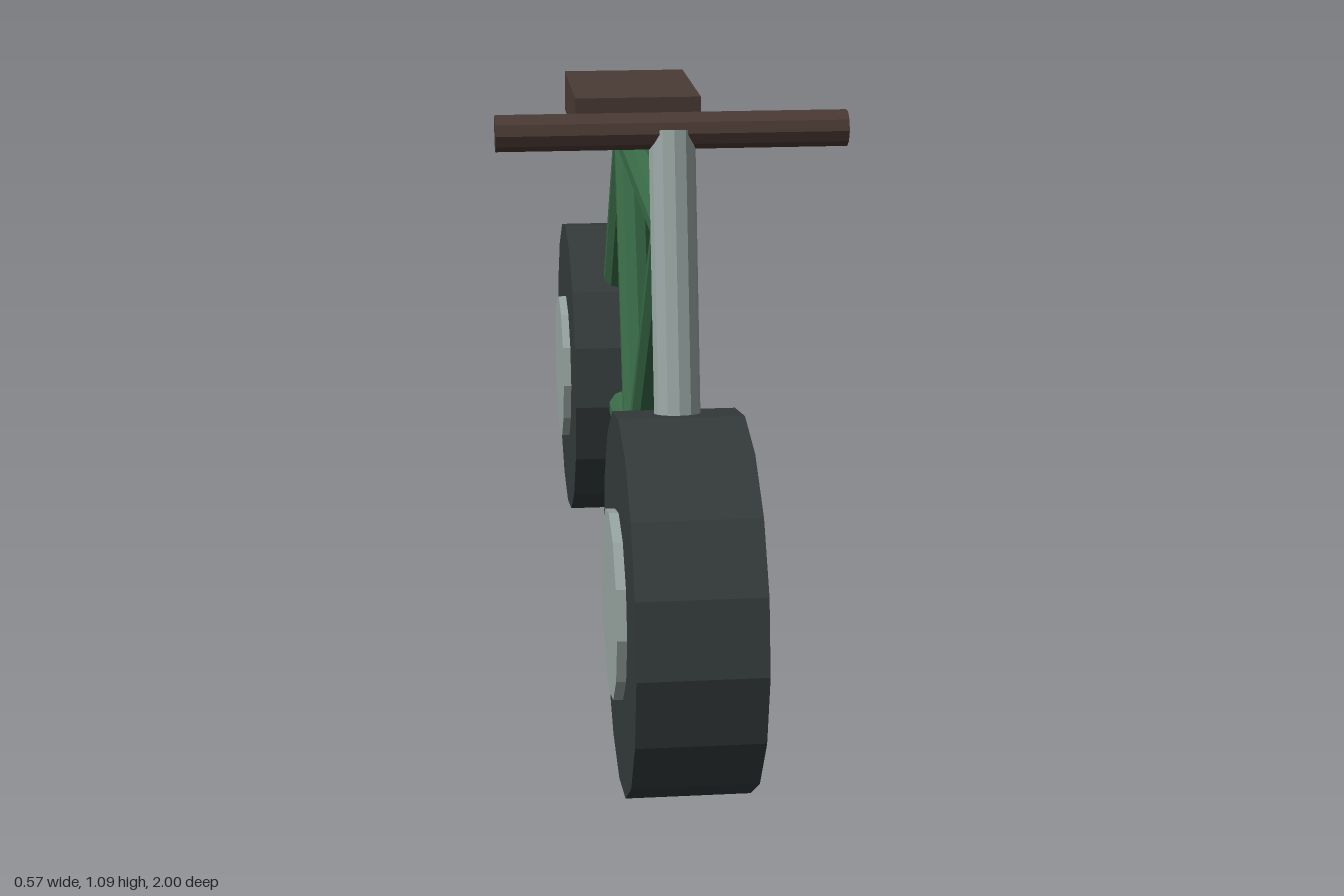
import * as THREE from 'three';

const mat = (name, color) => {
  const m = new THREE.MeshStandardMaterial({ color, flatShading: true });
  m.name = name;
  return m;
};

export function createModel() {
  const bike = new THREE.Group();
  bike.name = 'bicycle';
  const rubber = mat('dark rubber', 0x343a3a);
  const metal = mat('grey metal', 0x98a5a2);
  const green = mat('green paint', 0x386a46);
  const brown = mat('brown leather', 0x4a3a34);

  const add = (name, geometry, material, parent = bike) => {
    const mesh = new THREE.Mesh(geometry, material);
    mesh.name = name;
    parent.add(mesh);
    return mesh;
  };

  // Straight tube between two [y, z] points on the centre plane
  const tube = (name, a, b, radius, sides, material) => {
    const start = new THREE.Vector3(0, ...a);
    const end = new THREE.Vector3(0, ...b);
    const dir = end.clone().sub(start);
    const mesh = add(name, new THREE.CylinderGeometry(radius, radius, dir.length(), sides), material);
    mesh.position.copy(start).add(end).multiplyScalar(0.5);
    mesh.quaternion.setFromUnitVectors(new THREE.Vector3(0, 1, 0), dir.normalize());
  };

  // Wheels: fat tyre with a hub disc showing on both sides
  for (const [name, z] of [['frontWheel', 0.686], ['rearWheel', -0.686]]) {
    const wheel = new THREE.Group();
    wheel.name = name;
    wheel.position.set(0, 0.315, z);
    wheel.rotation.z = Math.PI / 2;
    add('tyre', new THREE.CylinderGeometry(0.315, 0.315, 0.204, 16), rubber, wheel);
    add('hub', new THREE.CylinderGeometry(0.157, 0.157, 0.236, 12), metal, wheel);
    bike.add(wheel);
  }

  // Frame
  const head = [0.9, 0.515];
  const seatTop = [0.918, -0.235];
  const crank = [0.315, 0];
  const rearAxle = [0.315, -0.686];
  tube('topTube', head, seatTop, 0.034, 10, green);
  tube('downTube', head, crank, 0.034, 10, green);
  tube('seatTube', crank, seatTop, 0.034, 10, green);
  tube('seatStay', seatTop, rearAxle, 0.034, 10, green);
  tube('chainStay', [0.315, -0.012], rearAxle, 0.034, 10, green);

  // Fork, handlebar and saddle
  tube('fork', [0.315, 0.686], [1.065, 0.521], 0.038, 12, metal);
  const bar = add('handlebar', new THREE.CylinderGeometry(0.03, 0.03, 0.572, 10), brown);
  bar.position.set(0, 1.065, 0.521);
  bar.rotation.z = Math.PI / 2;
  add('saddle', new THREE.BoxGeometry(0.236, 0.078, 0.315), brown).position.set(0, 0.976, -0.231);

  return bike;
}
